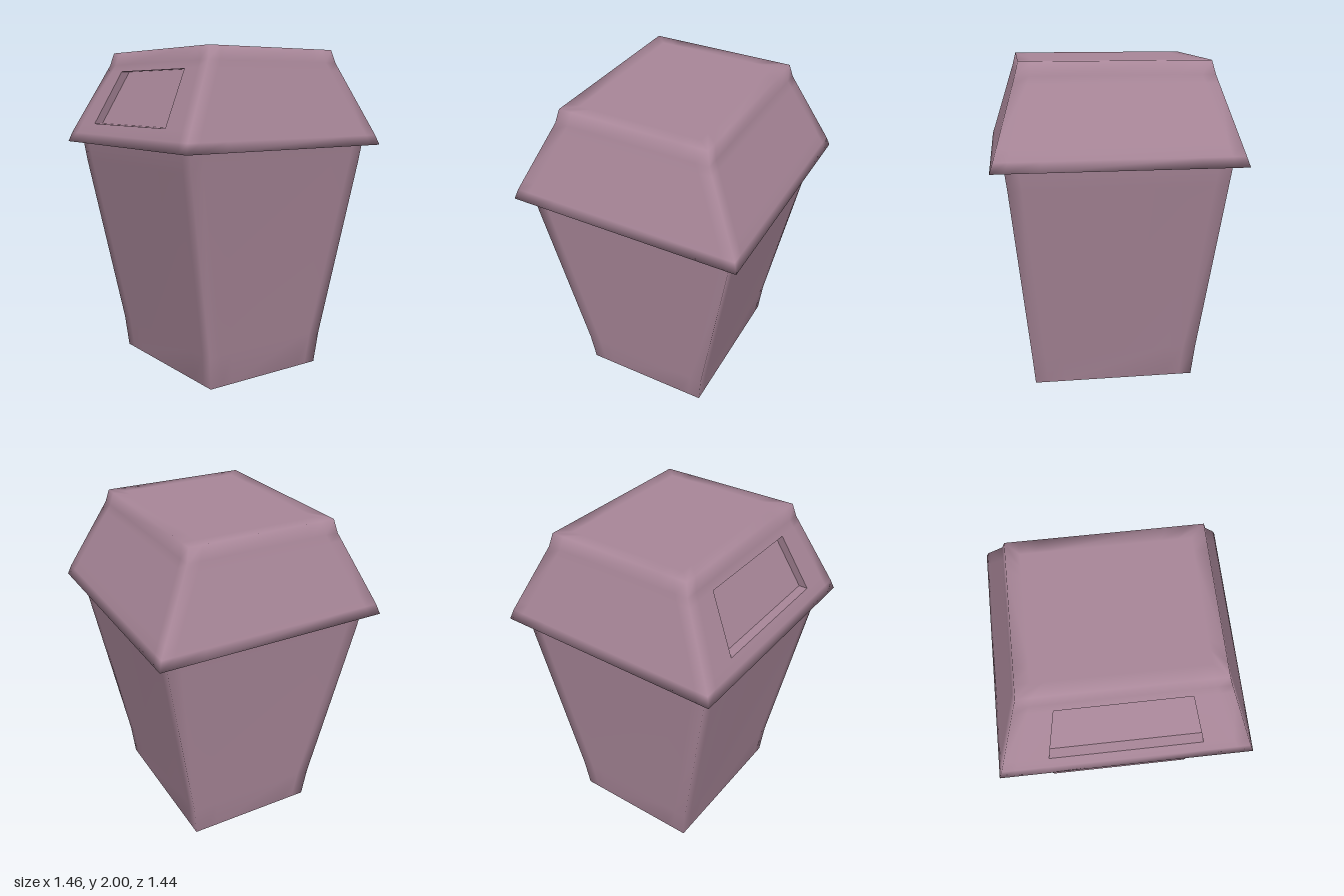
import * as THREE from 'three';

const INSET = 0.08; // width of the softened zone beside each edge
const OPEN = 0.63;  // half width of the flap opening as a share of the face

const material = (options) => new THREE.MeshStandardMaterial({ color: 0xa98799, ...options });

// Rectangular ring, five segments per side, counter-clockwise from above
function ring([y, hx, hz]) {
  const points = [];
  const side = (half, place) => {
    const s = half - Math.min(INSET, half * 0.3);
    for (const t of [-half, -s, -half * OPEN, half * OPEN, s]) points.push(place(t));
  };
  side(hx, (t) => [t, y, hz]);
  side(hz, (t) => [hx, y, -t]);
  side(hx, (t) => [-t, y, -hz]);
  side(hz, (t) => [-hx, y, t]);
  return points;
}

// Smooth skin through a stack of rings; openRow leaves out the middle front face
function loft(sections, openRow = -1) {
  const rings = sections.map(ring);
  const n = rings[0].length;
  const index = [];
  for (let i = 0; i < rings.length - 1; i++) {
    for (let j = 0; j < n; j++) {
      if (i === openRow && j === 2) continue;
      const k = (j + 1) % n;
      const a = i * n + j, b = i * n + k, c = b + n, d = a + n;
      index.push(a, b, c, a, c, d);
    }
  }
  const geometry = new THREE.BufferGeometry();
  geometry.setAttribute('position', new THREE.Float32BufferAttribute(rings.flat(2), 3));
  geometry.setIndex(index);
  geometry.computeVertexNormals();
  return geometry;
}

// Flat four-cornered faces
function quads(list) {
  const geometry = new THREE.BufferGeometry();
  const data = list.flatMap(([a, b, c, d]) => [a, b, c, a, c, d]).flat();
  geometry.setAttribute('position', new THREE.Float32BufferAttribute(data, 3));
  geometry.computeVertexNormals();
  return geometry;
}

export function createModel() {
  const group = new THREE.Group();
  const add = (name, geometry, mat) => {
    const mesh = new THREE.Mesh(geometry, mat);
    mesh.name = name;
    group.add(mesh);
  };

  // Tapered bin body with closed base: [y, half width, half depth]
  add('body', loft([
    [0, 0, 0], [0, 0.48, 0.39], [0, 0.5, 0.41],
    [0.2, 0.52, 0.43], [1.3, 0.635, 0.63], [1.42, 0.65, 0.645],
  ]), material({ side: THREE.DoubleSide }));

  // Sloping lid with overhanging rim and an opening in the front
  const low = [1.545, 0.69, 0.667];
  const high = [1.875, 0.589, 0.498];
  add('lid', loft([
    [1.42, 0, 0], [1.42, 0.65, 0.645], [1.42, 0.73, 0.72], [1.48, 0.71, 0.7],
    low, high,
    [1.92, 0.575, 0.475], [2, 0.555, 0.455], [2, 0.475, 0.375], [2, 0, 0],
  ], 4), material());

  // Recess around the flap, and the flap set back inside it
  const front = [
    [-low[1] * OPEN, low[0], low[2]], [low[1] * OPEN, low[0], low[2]],
    [high[1] * OPEN, high[0], high[2]], [-high[1] * OPEN, high[0], high[2]],
  ];
  const back = front.map(([x, y, z]) => [x, y, z - 0.055]);
  const walls = front.map((p, i) => {
    const j = (i + 1) % 4;
    return [p, front[j], back[j], back[i]];
  });
  add('flapRecess', quads(walls), material());
  add('flap', quads([back]), material());

  return group;
}
